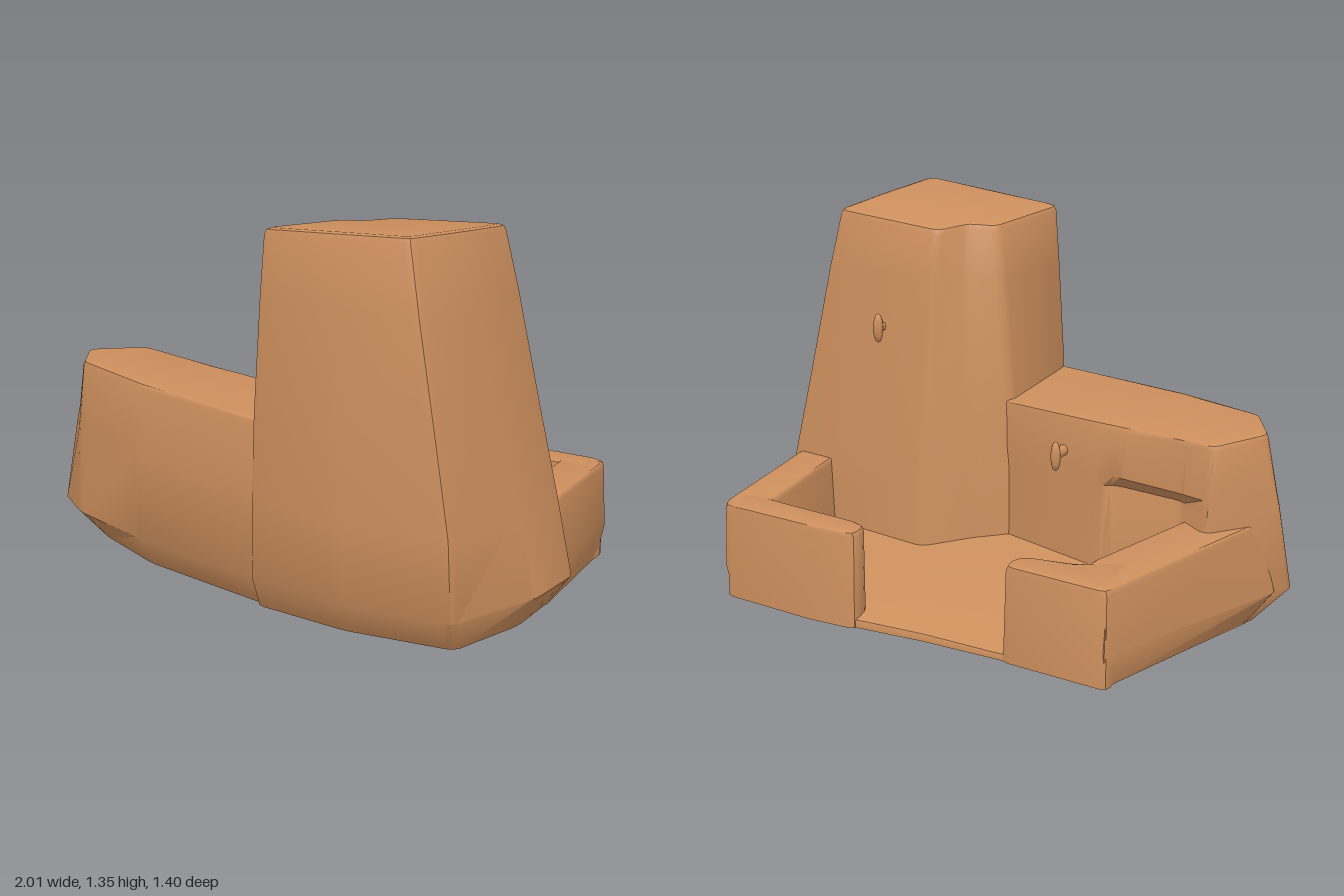
import * as THREE from 'three';
import { toCreasedNormals } from 'three/addons/utils/BufferGeometryUtils.js';

// Round every corner of a footprint with a short curve
function roundCorners(poly, r) {
  const out = [];
  poly.forEach(([x, z], i) => {
    const p = new THREE.Vector2(x, z);
    const toward = (q) => {
      const d = new THREE.Vector2(q[0], q[1]).sub(p);
      return p.clone().addScaledVector(d, Math.min(r / d.length(), 0.4));
    };
    const a = toward(poly[(i + poly.length - 1) % poly.length]);
    const b = toward(poly[(i + 1) % poly.length]);
    const m = p.clone().multiplyScalar(0.5).addScaledVector(a, 0.25).addScaledVector(b, 0.25);
    out.push(a, m, b);
  });
  return out;
}

// Pull a footprint towards its middle
function inset(points, d) {
  const c = new THREE.Vector2();
  points.forEach((p) => c.add(p));
  c.divideScalar(points.length);
  return points.map((p) => p.clone().addScaledVector(c.clone().sub(p).normalize(), d));
}

// Solid through stacked footprints [[x, z], ...]; each height is a number or a function of x, z
function loft(levels, r = 0.03, bevel = 0.022) {
  const rings = levels.map(([h, poly]) => {
    const height = typeof h === 'function' ? h : () => h;
    return { height, pts: roundCorners(poly, r) };
  });
  const top = rings[rings.length - 1];
  const topHeight = top.height;
  top.height = (x, z) => topHeight(x, z) - bevel;
  rings.push({ height: (x, z) => topHeight(x, z) - bevel * 0.25, pts: inset(top.pts, bevel * 0.35) });
  rings.push({ height: topHeight, pts: inset(top.pts, bevel * 1.2) });
  if (THREE.ShapeUtils.area(rings[0].pts) < 0) rings.forEach((k) => k.pts.reverse());

  const n = rings[0].pts.length;
  const pos = [];
  const index = [];
  rings.forEach(({ height, pts }) => pts.forEach((p) => pos.push(p.x, height(p.x, p.y), p.y)));
  for (let k = 0; k < rings.length - 1; k++) {
    for (let j = 0; j < n; j++) {
      const a = k * n + j;
      const b = k * n + ((j + 1) % n);
      index.push(a, a + n, b, b, a + n, b + n);
    }
  }
  const last = (rings.length - 1) * n;
  THREE.ShapeUtils.triangulateShape(rings[0].pts, []).forEach(([a, b, c]) => index.push(a, b, c));
  THREE.ShapeUtils.triangulateShape(rings[rings.length - 1].pts, [])
    .forEach(([a, b, c]) => index.push(last + a, last + c, last + b));
  const g = new THREE.BufferGeometry();
  g.setAttribute('position', new THREE.Float32BufferAttribute(pos, 3));
  g.setIndex(index);
  return toCreasedNormals(g, 0.7);
}

export function createModel() {
  const group = new THREE.Group();
  const clay = new THREE.MeshStandardMaterial({ color: 0xcd8f5d });
  clay.name = 'clay';
  const add = (name, geometry) => {
    const mesh = new THREE.Mesh(geometry, clay);
    mesh.name = name;
    group.add(mesh);
    return mesh;
  };

  // Floor ramp, rising from the open back towards the front wall
  const floor = [[-0.6, -0.68], [-0.2, -0.615], [0.1, -0.58], [0.4, -0.565], [0.92, -0.48], [0.9, 0.05],
    [0.74, 0.55], [0.4, 0.55], [0.05, 0.48], [-0.5, 0.28], [-0.8, 0.12], [-0.88, 0.03]];
  add('floor', loft([[0, floor], [(x, z) => Math.max(0.025, 0.025 + 0.17 * (z + 0.6)), floor]], 0.03, 0.01));

  // Thick front wall with an undercut foot and a shallow recess under its inner lip
  add('frontWall', loft([
    [0, [[-0.89, 0.04], [-0.8, 0.15], [-0.5, 0.33], [0.14, 0.54],
      [0.14, 0.14], [-0.3, 0.0], [-0.4, -0.03], [-0.64, -0.1], [-0.73, -0.13]]],
    [0.12, [[-1.01, 0.1], [-0.85, 0.25], [-0.5, 0.415], [0.14, 0.62],
      [0.14, 0.14], [-0.3, 0.0], [-0.4, -0.03], [-0.64, -0.1], [-0.75, -0.14]]],
    [0.43, [[-0.965, 0.07], [-0.845, 0.25], [-0.5, 0.41], [0.14, 0.62],
      [0.14, 0.15], [-0.3, 0.01], [-0.37, 0.04], [-0.63, -0.02], [-0.76, -0.13]]],
    [0.48, [[-0.955, 0.065], [-0.84, 0.25], [-0.5, 0.405], [0.14, 0.62],
      [0.14, 0.15], [-0.3, 0.01], [-0.4, -0.015], [-0.64, -0.08], [-0.765, -0.125]]],
    [(x, z) => 0.665 - 0.042 * x + 0.05 * (z - 0.25),
      [[-0.92, 0.05], [-0.83, 0.235], [-0.5, 0.395], [0.14, 0.61],
        [0.14, 0.16], [-0.3, 0.02], [-0.4, -0.01], [-0.64, -0.075], [-0.78, -0.115]]],
  ], 0.025));

  // Tapered corner tower
  add('tower', loft([
    [0, [[0.03, 0.53], [0.4, 0.61], [0.79, 0.61], [0.9, 0.32], [0.92, 0.05], [0.36, -0.06], [0.2, 0.06], [0.02, 0.14]]],
    [0.12, [[0.04, 0.6], [0.4, 0.685], [0.81, 0.695], [0.975, 0.34], [1.01, 0.08], [0.36, -0.05], [0.2, 0.06], [0.03, 0.15]]],
    [0.4, [[0.04, 0.6], [0.4, 0.69], [0.8, 0.7], [0.91, 0.36], [0.955, 0.09], [0.36, -0.03], [0.21, 0.07], [0.05, 0.15]]],
    [0.7, [[0.045, 0.59], [0.39, 0.68], [0.76, 0.71], [0.845, 0.37], [0.89, 0.1], [0.35, 0], [0.22, 0.09], [0.09, 0.16]]],
    [1.1, [[0.055, 0.56], [0.37, 0.64], [0.69, 0.695], [0.765, 0.38], [0.81, 0.12], [0.34, 0.04], [0.24, 0.14], [0.13, 0.18]]],
    [(x, z) => 1.35 + 0.05 * (x - 0.62) + 0.08 * (z - 0.63),
      [[0.055, 0.53], [0.35, 0.6], [0.64, 0.655], [0.715, 0.38], [0.765, 0.13], [0.33, 0.06], [0.26, 0.18], [0.16, 0.2]]],
  ]));

  // Low walls round the yard
  const lowTop = (x, z) => 0.37 + 0.03 * z;
  add('rightSideWall', loft([
    [0, [[-0.88, 0.04], [-0.6, -0.69], [-0.46, -0.5], [-0.62, 0.04]]],
    [0.12, [[-0.97, 0.05], [-0.61, -0.71], [-0.46, -0.5], [-0.63, 0.05]]],
    [lowTop, [[-0.91, 0.05], [-0.61, -0.7], [-0.47, -0.51], [-0.69, 0.05]]],
  ]));
  add('rightBackWall', loft([
    [0, [[-0.62, -0.7], [-0.21, -0.625], [-0.21, -0.53], [-0.46, -0.49], [-0.62, -0.45]]],
    [lowTop, [[-0.62, -0.7], [-0.22, -0.625], [-0.23, -0.54], [-0.46, -0.51], [-0.63, -0.45]]],
  ]));
  add('leftSideWall', loft([
    [0, [[0.92, 0.12], [0.92, -0.48], [0.75, -0.46], [0.75, 0.12]]],
    [0.12, [[0.96, 0.12], [0.94, -0.49], [0.76, -0.46], [0.76, 0.12]]],
    [lowTop, [[0.93, 0.12], [0.93, -0.49], [0.78, -0.46], [0.78, 0.12]]],
  ]));
  add('leftBackWall', loft([
    [0, [[0.93, -0.49], [0.55, -0.565], [0.36, -0.58], [0.36, -0.48], [0.78, -0.38], [0.92, -0.38]]],
    [lowTop, [[0.93, -0.49], [0.55, -0.555], [0.36, -0.57], [0.36, -0.48], [0.78, -0.39], [0.92, -0.38]]],
  ]));

  // Small pegs on the inner faces, each a stem with a pointed knob
  for (const [name, x, y, z, length] of [['wallPeg', -0.16, 0.53, -0.02, 0.13], ['towerPeg', 0.56, 0.91, 0.03, 0.06]]) {
    const stem = add(name + 'Stem', new THREE.CylinderGeometry(0.015, 0.022, length, 8));
    stem.rotation.x = -Math.PI / 2;
    stem.position.set(x, y, z + length / 2);
    const knob = add(name + 'Knob', new THREE.SphereGeometry(0.025, 8, 6));
    knob.scale.set(0.8, 2.2, 0.8);
    knob.position.set(x, y, z);
  }
  return group;
}
